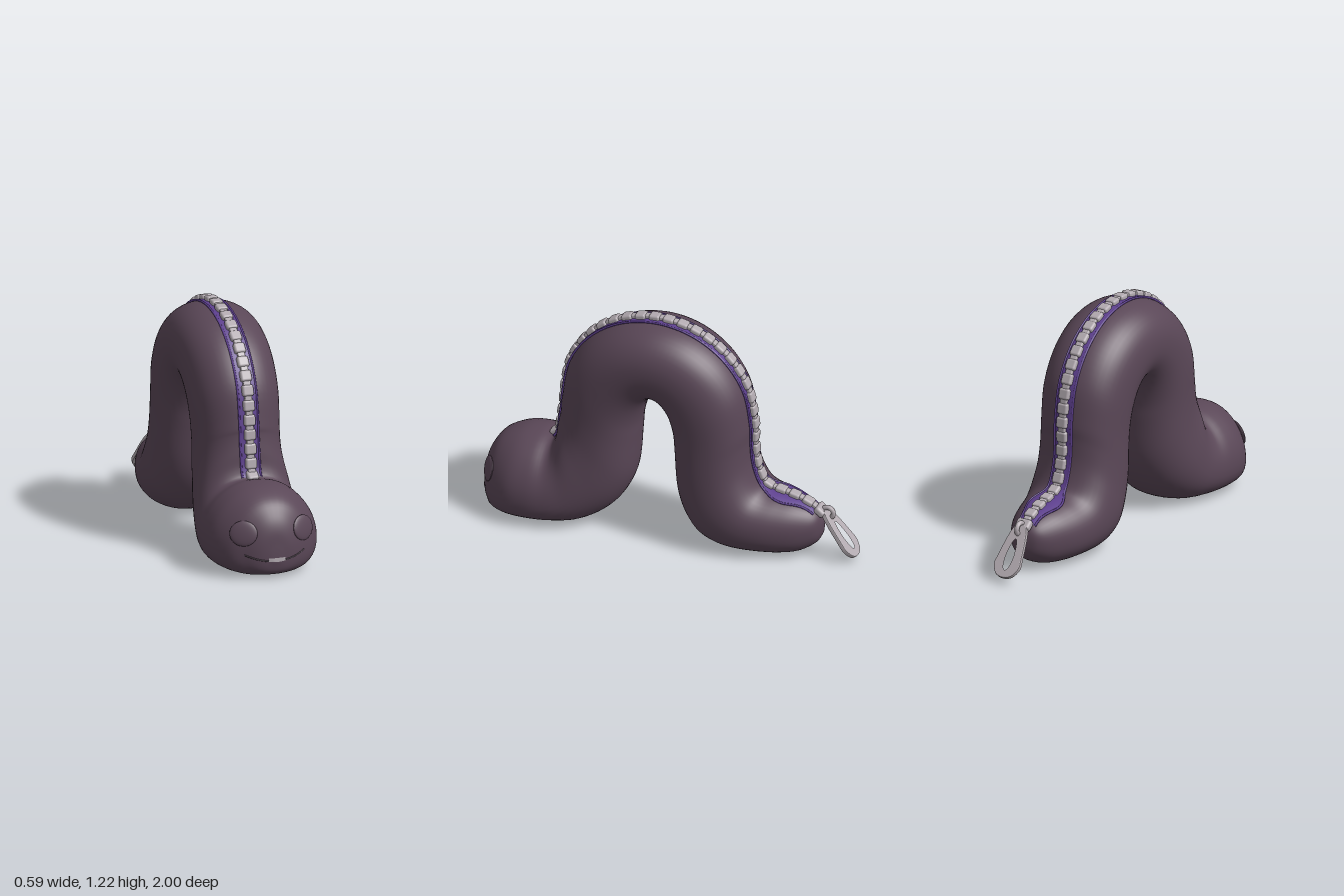
import * as THREE from 'three';
import { RoundedBoxGeometry } from 'three/addons/geometries/RoundedBoxGeometry.js';

const mat = (name, color, side = THREE.FrontSide) => {
  const m = new THREE.MeshStandardMaterial({ color, side });
  m.name = name;
  return m;
};

// body sections: outer z, outer y, inner z, inner y, half width, sag
const HEAD = [
  [0.995, 0.15, 0.997, 0.09, 0.025, 0.1], [0.985, 0.25, 0.985, 0.04, 0.09, 0.2],
  [0.955, 0.325, 0.96, 0.018, 0.15, 0.25], [0.9, 0.39, 0.91, 0.005, 0.225, 0.3],
  [0.8, 0.432, 0.82, 0, 0.28, 0.3], [0.7, 0.44, 0.7, 0, 0.293, 0.3],
  [0.63, 0.43, 0.58, 0, 0.282, 0.25], [0.605, 0.475, 0.46, 0.012, 0.265, 0.18],
  [0.595, 0.55, 0.35, 0.065, 0.25, 0.1], [0.587, 0.61, 0.26, 0.16, 0.235, 0.05],
  [0.583, 0.65, 0.2, 0.3, 0.225, 0],
];
const TAIL = [
  [-0.432, 0.6, -0.04, 0.3, 0.225, 0], [-0.44, 0.5, -0.08, 0.17, 0.23, 0],
  [-0.46, 0.42, -0.15, 0.07, 0.237, 0], [-0.49, 0.36, -0.24, 0.02, 0.235, 0],
  [-0.53, 0.335, -0.35, 0, 0.225, 0.05], [-0.6, 0.32, -0.49, 0, 0.203, 0.1],
  [-0.68, 0.3, -0.6, 0.005, 0.17, 0.1], [-0.75, 0.27, -0.7, 0.025, 0.125, 0.1],
  [-0.79, 0.235, -0.775, 0.07, 0.075, 0], [-0.808, 0.19, -0.805, 0.12, 0.02, 0],
];
// the arch between them: half ellipses outside and inside
const arch = [];
for (let i = 0; i <= 8; i++) {
  const c = Math.cos((i * Math.PI) / 8), s = Math.sin((i * Math.PI) / 8);
  arch.push([0.075 + 0.505 * c, 0.7 + 0.495 * s, 0.078 + 0.103 * c, 0.5 + 0.268 * s, 0.222 + 0.014 * s, 0]);
}
const sections = HEAD.concat(arch, TAIL);
const LAST = sections.length - 1;
const POWER = 0.9;
const spline = (f) => new THREE.CatmullRomCurve3(sections.map(f), false, 'catmullrom', 0.5);
const outerCurve = spline((s) => new THREE.Vector3(s[4], s[1], s[0]));
const innerCurve = spline((s) => new THREE.Vector3(s[5], s[3], s[2]));
const soft = (v) => Math.sign(v) * Math.abs(v) ** POWER;

// point on the skin: u along the body, t around it (0 = back of the worm)
function skin(u, t) {
  const o = outerCurve.getPoint(u), i = innerCurve.getPoint(u);
  const s = Math.sin(t), k = (1 + soft(Math.cos(t)) - i.x * s * s) / 2;
  return new THREE.Vector3(o.x * soft(s), i.y + (o.y - i.y) * k, i.z + (o.z - i.z) * k);
}

// outward normal along the back
function backNormal(u) {
  const d = skin(u + 0.004, 0).sub(skin(u - 0.004, 0)).normalize();
  return new THREE.Vector3(0, -d.z, d.y);
}

// point beside the spine at sideways distance x, lifted off the skin
function beside(u, x, lift) {
  const w = outerCurve.getPoint(u).x;
  const t = Math.sign(x) * Math.asin(Math.min(1, (Math.abs(x) / w) ** (1 / POWER)));
  return skin(u, t).addScaledVector(backNormal(u), lift);
}

// surface through rows of points; closed ones wrap around and get end caps
function gridGeometry(points, cols, closed) {
  const pos = points.flatMap((p) => p.toArray()), index = [];
  const rows = points.length / cols, span = closed ? cols : cols - 1;
  for (let i = 0; i < rows - 1; i++) {
    for (let j = 0; j < span; j++) {
      const a = i * cols + j, b = i * cols + ((j + 1) % cols);
      index.push(a, b, a + cols, b, b + cols, a + cols);
    }
  }
  if (closed) {
    [0, rows - 1].forEach((row, end) => {
      const c = pos.length / 3, ring = points.slice(row * cols, (row + 1) * cols);
      const mid = ring.reduce((m, p) => m.add(p), new THREE.Vector3()).divideScalar(cols);
      pos.push(mid.x, mid.y, mid.z);
      for (let j = 0; j < cols; j++) {
        const a = row * cols + j, b = row * cols + ((j + 1) % cols);
        index.push(c, end ? a : b, end ? b : a);
      }
    });
  }
  const g = new THREE.BufferGeometry();
  g.setAttribute('position', new THREE.Float32BufferAttribute(pos, 3));
  g.setIndex(index);
  g.computeVertexNormals();
  return g;
}

export function createModel() {
  const group = new THREE.Group();
  const plush = mat('dusky plush', 0x5a4757);
  const lining = mat('purple lining', 0x5d3f8e, THREE.DoubleSide);
  const metal = mat('zipper metal', 0xb3abb1);
  const seam = mat('dark seam', 0x3e303c);
  const add = (name, geo, m, parent = group) => {
    const mesh = new THREE.Mesh(geo, m);
    mesh.name = name;
    parent.add(mesh);
    return mesh;
  };

  // arched body
  const pts = [], cols = 48, rows = 150;
  for (let i = 0; i <= rows; i++)
    for (let j = 0; j < cols; j++) pts.push(skin(i / rows, (j / cols) * Math.PI * 2));
  const body = add('body', gridGeometry(pts, cols, true), plush);

  // purple zipper tape with piped edges, opening wider above the tail
  const from = 6.1 / LAST, to = 27.4 / LAST, tape = [];
  const along = (f) => from + (to - from) * f;
  const halfWidth = (u) => 0.05 + 0.04 * Math.exp(-(((u * LAST - 25) / 1.1) ** 2));
  for (let i = 0; i <= 120; i++) {
    const u = along(i / 120), w = halfWidth(u);
    for (let j = -4; j <= 4; j++) tape.push(beside(u, (w * j) / 4, 0.005));
  }
  add('zipperTape', gridGeometry(tape, 9, false), lining);
  for (const side of [-1, 1]) {
    const edge = [];
    for (let i = 0; i <= 60; i++) {
      const u = along(i / 60);
      edge.push(beside(u, side * halfWidth(u), 0.004));
    }
    add('tapePiping', new THREE.TubeGeometry(new THREE.CatmullRomCurve3(edge), 120, 0.006, 6), lining);
  }

  // zipper teeth at even steps, with narrow links between them
  const zipper = new THREE.Group();
  zipper.name = 'zipper';
  group.add(zipper);
  const tooth = new RoundedBoxGeometry(0.06, 0.034, 0.058, 2, 0.012);
  const link = new RoundedBoxGeometry(0.04, 0.022, 0.03, 1, 0.006);
  let travelled = 0, count = 0, prev = skin(from, 0);
  for (let i = 0; i <= 2000; i++) {
    const u = along(i / 2000), p = skin(u, 0);
    travelled += p.distanceTo(prev);
    prev = p;
    if (travelled < count * 0.037) continue;
    const isTooth = count++ % 2 === 0, n = backNormal(u);
    const m = add(isTooth ? 'tooth' : 'toothLink', isTooth ? tooth : link, metal, zipper);
    m.position.copy(p).addScaledVector(n, 0.01);
    m.rotation.x = Math.atan2(n.z, n.y);
  }

  // slider and teardrop pull tab with a slot
  const slider = add('slider', new RoundedBoxGeometry(0.085, 0.04, 0.06, 2, 0.015), metal);
  slider.position.set(0, 0.255, -0.795);
  slider.rotation.x = -0.7;
  const loop = add('sliderLoop', new THREE.TorusGeometry(0.03, 0.013, 8, 20), metal);
  loop.position.set(0, 0.245, -0.83);
  loop.rotation.y = Math.PI / 2;
  const teardrop = (w, top, bottom) => {
    const half = [[w * 0.4, top - 0.01], [w * 0.95, bottom + 0.1], [w, bottom + 0.06], [w * 0.6, bottom + 0.012]];
    const mirrored = half.map(([x, y]) => [-x, y]).reverse();
    const corners = [[0, top], ...half, [0, bottom], ...mirrored];
    const curve = new THREE.CatmullRomCurve3(corners.map(([x, y]) => new THREE.Vector3(x, y, 0)), true);
    return curve.getPoints(48).slice(0, 48).map((p) => new THREE.Vector2(p.x, p.y));
  };
  const outline = new THREE.Shape(teardrop(0.07, 0, -0.285));
  outline.holes.push(new THREE.Path(teardrop(0.022, -0.08, -0.25)));
  const tab = add('pullTab', new THREE.ExtrudeGeometry(outline, {
    depth: 0.012, bevelEnabled: true, bevelSize: 0.005, bevelThickness: 0.006, bevelSegments: 2,
  }), metal);
  tab.position.set(0, 0.26, -0.815);
  tab.rotation.x = 0.66;

  // face details laid onto the head
  const onFace = (x, y) => {
    const ray = new THREE.Raycaster(new THREE.Vector3(x + 0.0007, y, 2), new THREE.Vector3(0, 0, -1));
    return ray.intersectObject(body)[0];
  };
  for (const side of [-1, 1]) {
    const hit = onFace(side * 0.16, 0.24);
    const eye = add(side > 0 ? 'leftEye' : 'rightEye', new THREE.SphereGeometry(0.072, 28, 16), plush);
    eye.position.copy(hit.point);
    eye.lookAt(hit.point.clone().add(hit.face.normal));
    eye.scale.set(1, 0.9, 0.2);
  }
  const smile = [];
  for (let i = -10; i <= 10; i++) smile.push(onFace(i * 0.016, 0.095 + 0.00035 * i * i).point);
  add('mouth', new THREE.TubeGeometry(new THREE.CatmullRomCurve3(smile), 60, 0.004, 6), seam);
  const grin = [];
  for (let i = 0; i <= 4; i++) {
    for (let j = 6; j >= -6; j--) {
      const p = onFace(j * 0.0075, 0.113 - i * 0.0055 * (1 - 0.03 * Math.abs(j))).point;
      p.z += 0.005;
      grin.push(p);
    }
  }
  add('mouthZip', gridGeometry(grin, 13, false), metal);
  return group;
}
